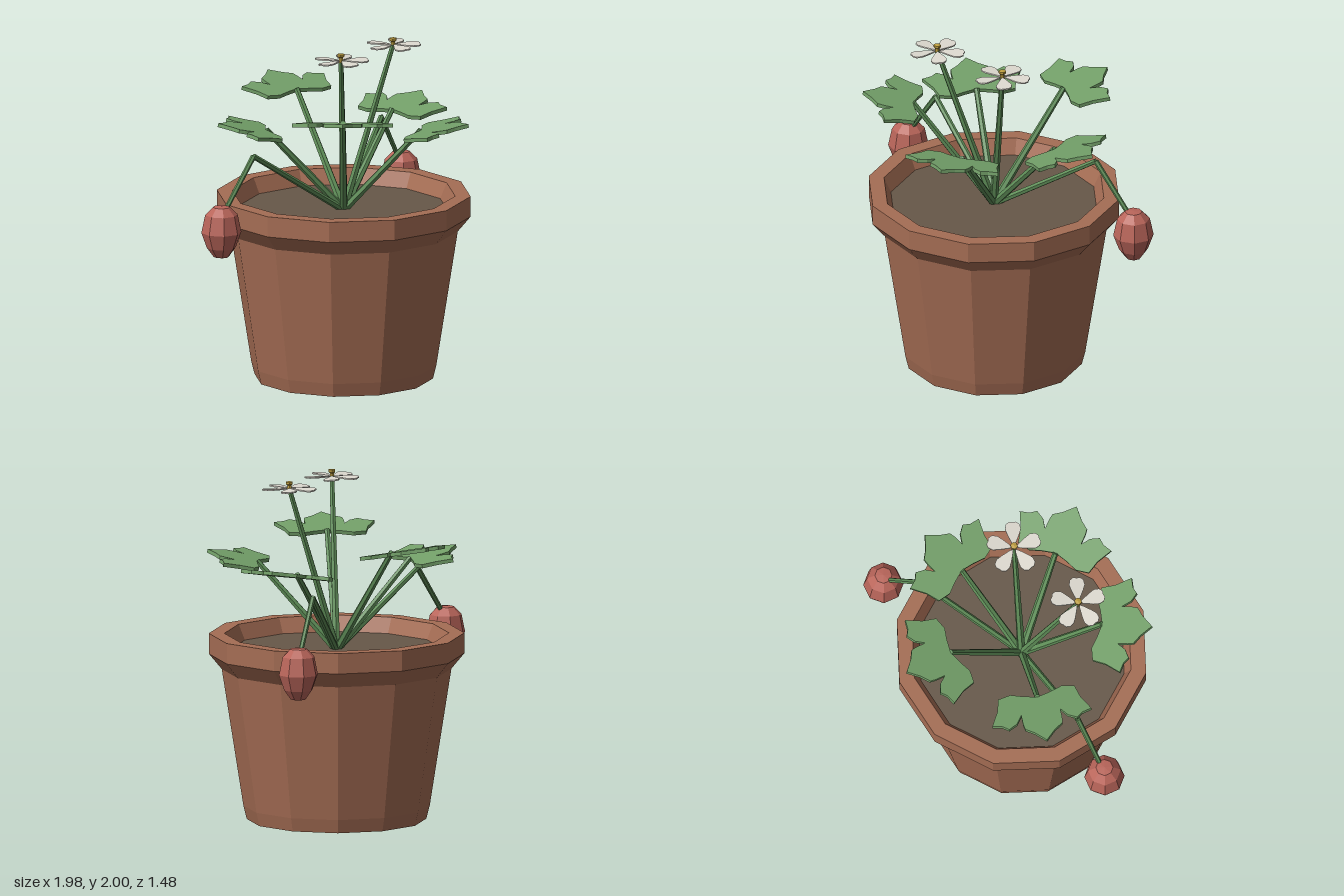
import * as THREE from 'three';

const mat = (name, color) => {
  const m = new THREE.MeshStandardMaterial({ color });
  m.name = name;
  return m;
};

// Faceted normals for a low-poly look
const flat = (g) => {
  const f = g.index ? g.toNonIndexed() : g;
  f.computeVertexNormals();
  return f;
};

const lathe = (pts, sides) =>
  flat(new THREE.LatheGeometry(pts.map(([r, y]) => new THREE.Vector2(r, y)), sides));

// Horizontal plate from an outline in (outward, sideways) coordinates
const plate = (half, depth) => {
  const mirrored = half.slice(1, -1).reverse().map(([u, v]) => [u, -v]);
  const shape = new THREE.Shape([...half, ...mirrored].map(([u, v]) => new THREE.Vector2(u, v)));
  const g = new THREE.ExtrudeGeometry(shape, { depth, bevelEnabled: false });
  return flat(g.rotateX(Math.PI / 2));
};

export function createModel() {
  const model = new THREE.Group();
  model.name = 'pottedPlant';

  const clay = mat('clay', 0xa56d54);
  const soilMat = mat('soil', 0x675849);
  const leafMat = mat('leaf green', 0x73a069);
  const stemMat = mat('stem green', 0x5f8e58);
  const budMat = mat('bud red', 0xb9655a);
  const petalMat = mat('petal white', 0xdedad0);
  const yellow = mat('stamen yellow', 0xbf9f40);

  const add = (parent, name, geometry, material) => {
    const mesh = new THREE.Mesh(geometry, material);
    mesh.name = name;
    parent.add(mesh);
    return mesh;
  };

  // Tapered stem between two points
  const up = new THREE.Vector3(0, 1, 0);
  const stem = (name, from, to, r0, r1) => {
    const a = new THREE.Vector3(...from);
    const d = new THREE.Vector3(...to).sub(a);
    const g = new THREE.CylinderGeometry(r1, r0, d.length(), 6);
    const m = add(model, name, flat(g), stemMat);
    m.position.copy(a).addScaledVector(d, 0.5);
    m.quaternion.setFromUnitVectors(up, d.normalize());
  };

  // Pot with a collar and a hollow rim
  add(model, 'pot', lathe([
    [0, 0], [0.52, 0], [0.54, 0.08], [0.665, 0.88], [0.74, 0.97],
    [0.74, 1.09], [0.65, 1.09], [0.6, 0.98],
  ], 12), clay);
  add(model, 'soil', lathe([[0.61, 1.0], [0, 1.0]], 12), soilMat);

  // Five lobed leaves, tilted upward, on straight stems
  const root = [0, 0.99, 0];
  const leafGeo = plate([
    [0, 0], [-0.02, 0.08], [-0.045, 0.15], [-0.03, 0.225], [0.05, 0.245],
    [0.14, 0.292], [0.155, 0.235], [0.182, 0.2], [0.155, 0.15], [0.105, 0.115],
    [0.165, 0.115], [0.2, 0.11], [0.235, 0.06], [0.297, 0],
  ], 0.022);
  [1.5, 1.5, 1.62, 1.5, 1.62].forEach((y, i) => {
    const a = (i * Math.PI * 2) / 5;
    const x = 0.47 * Math.cos(a), z = 0.47 * Math.sin(a);
    stem('leafStem', root, [x, y, z], 0.024, 0.017);
    const holder = new THREE.Group();
    holder.name = 'leafHolder';
    holder.position.set(x, y, z);
    holder.rotation.y = -a;
    add(holder, 'leaf', leafGeo, leafMat).rotation.z = 0.2;
    model.add(holder);
  });

  // Two open flowers with five petals and a stamen
  const petalGeo = plate([
    [0.012, 0], [0.03, 0.012], [0.08, 0.034], [0.115, 0.046],
    [0.145, 0.04], [0.16, 0.02], [0.157, 0],
  ], 0.008);
  const stamenGeo = lathe([
    [0, -0.01], [0.015, -0.01], [0.013, 0.02], [0.022, 0.027], [0.022, 0.04], [0, 0.045],
  ], 6);
  for (const x of [-0.275, 0.23]) {
    const top = [x, 1.955, 0.185];
    stem('flowerStem', root, top, 0.024, 0.015);
    const flower = new THREE.Group();
    flower.name = 'flower';
    flower.position.set(...top);
    for (let k = 0; k < 5; k++) {
      const petal = add(flower, 'petal', petalGeo, petalMat);
      petal.position.y = 0.004;
      petal.rotation.set(0.08, -(THREE.MathUtils.degToRad(188) + (k * Math.PI * 2) / 5), 0, 'YXZ');
    }
    add(flower, 'stamen', stamenGeo, yellow);
    model.add(flower);
  }

  // Drooping buds on bent stems, one each side
  const budGeo = lathe([
    [0, 0.84], [0.045, 0.845], [0.085, 0.9], [0.117, 0.99],
    [0.095, 1.095], [0.05, 1.14], [0, 1.145],
  ], 8);
  for (const s of [-1, 1]) {
    const elbow = [s * 0.62, 1.4, -0.19];
    stem('budStem', root, elbow, 0.02, 0.016);
    stem('budStemTip', elbow, [s * 0.85, 1.1, -0.233], 0.016, 0.014);
    add(model, 'bud', budGeo, budMat).position.set(s * 0.872, 0, -0.235);
  }

  return model;
}
